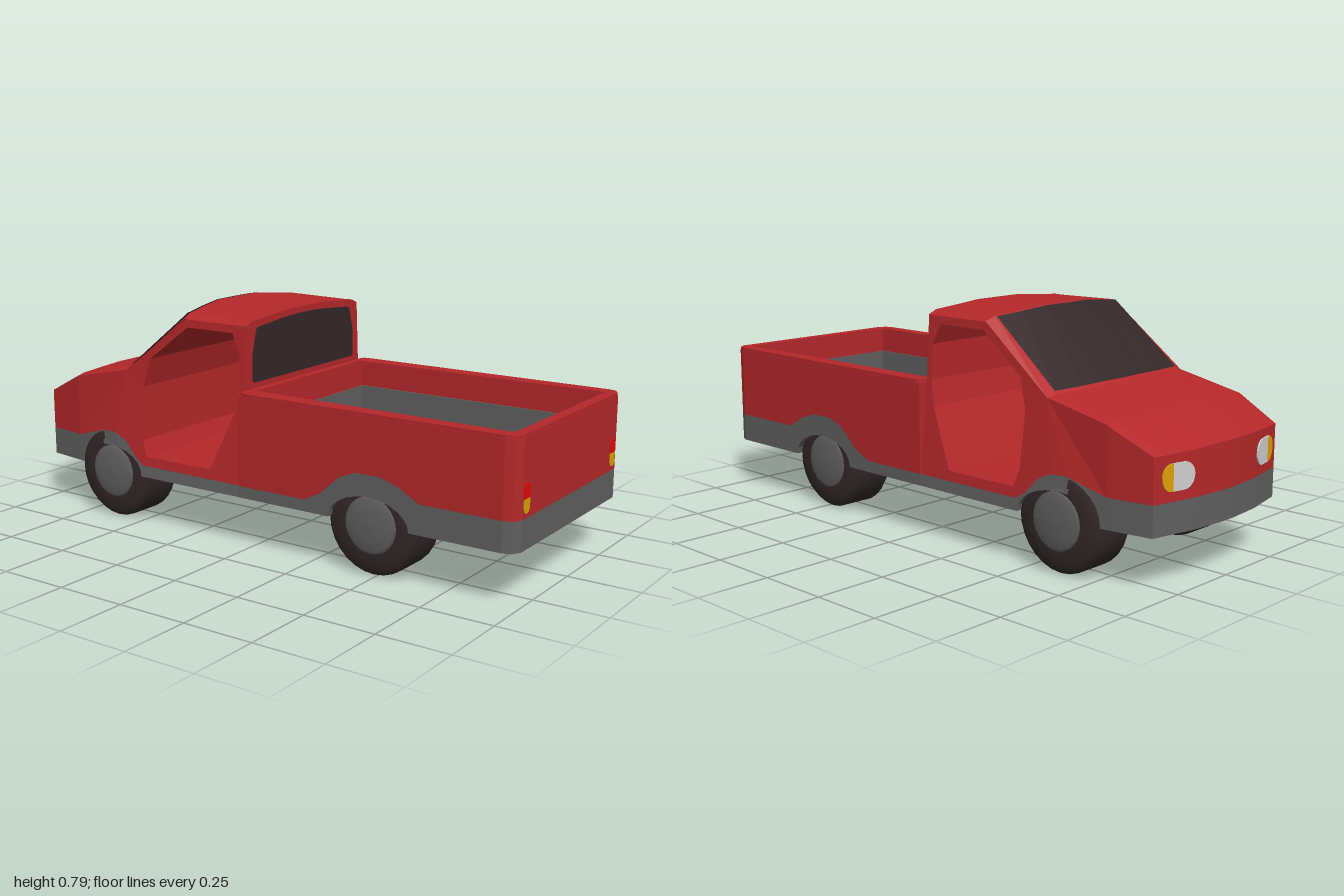
import * as THREE from 'three';

const mat = (name, color, side = THREE.FrontSide) => {
  const m = new THREE.MeshStandardMaterial({ color, side });
  m.name = name;
  return m;
};

// half width of the cab: leaning glasshouse, flared doors, tapering nose
function cabWidth(y, z) {
  const flare = THREE.MathUtils.clamp((z + 0.8) / 0.2, 0, 1) * 0.1;
  const taper = Math.max(0, -0.8 - z) * 0.15;
  return 0.345 + flare * Math.max(0, 0.54 - y) - 0.055 * Math.max(0, y - 0.54) - taper;
}

// copy of a geometry reflected in x, with corner order kept outward
function mirrored(geo) {
  const g = geo.index ? geo.toNonIndexed() : geo.clone();
  g.scale(-1, 1, 1);
  for (const a of Object.values(g.attributes)) {
    const n = a.itemSize;
    for (let i = 0; i < a.count; i += 3) {
      for (let k = 0; k < n; k++) {
        const p = (i + 1) * n + k, q = (i + 2) * n + k;
        [a.array[p], a.array[q]] = [a.array[q], a.array[p]];
      }
    }
  }
  return g;
}

function bend(geo, rule) {
  const p = geo.attributes.position, v = new THREE.Vector3();
  for (let i = 0; i < p.count; i++) {
    rule(v.fromBufferAttribute(p, i));
    p.setXYZ(i, v.x, v.y, v.z);
  }
  geo.computeVertexNormals();
  return geo;
}

const shapeOf = (pts) => new THREE.Shape(pts.map(([x, y]) => new THREE.Vector2(x, y)));
const extrude = (shape, depth) => new THREE.ExtrudeGeometry(shape, { depth, bevelEnabled: false, curveSegments: 8 });
const symmetric = (pts) => [...pts, ...pts.map(([x, y]) => [-x, y]).reverse()];

// side panel drawn in (z, y), outer face at x = 0
function sidePanel(pts, thick, hole) {
  const s = shapeOf(pts.map(([z, y]) => [-z, y]));
  if (hole) s.holes.push(shapeOf(hole.map(([z, y]) => [-z, y])));
  return extrude(s, thick).rotateY(Math.PI / 2).translate(-thick, 0, 0);
}

// slab drawn in plan (x, z) between two heights
function slab(pts, y0, y1, hole) {
  const s = shapeOf(pts.map(([x, z]) => [x, -z]));
  if (hole) s.holes.push(shapeOf(hole.map(([x, z]) => [x, -z])));
  return extrude(s, y1 - y0).rotateX(-Math.PI / 2).translate(0, y0, 0);
}

// D-shaped lamp: straight edge at x = 0, rounded end towards +x
function lamp(length, height, r) {
  const s = new THREE.Shape();
  s.moveTo(0, -height / 2);
  s.lineTo(length - r, -height / 2);
  s.absellipse(length - r, 0, r, height / 2, -Math.PI / 2, Math.PI / 2, false, 0);
  s.lineTo(0, height / 2);
  return extrude(s, 0.008);
}

// crowned surface across the cab; each row is [zEdge, zCentre, yEdge, yCentre]
const crown = (t) => (t <= 0.3 ? 1 : t <= 0.9 ? 1 - (t - 0.3) * 0.95 : (1 - t) * 4.3);
function crownedSkin(rows, cols) {
  const pos = [], idx = [], n = cols.length;
  rows.forEach(([ze, zc, ye, yc], i) => cols.forEach((t, j) => {
    const a = Math.abs(t);
    pos.push(t * cabWidth(ye, ze), ye + (yc - ye) * crown(a), ze + (zc - ze) * (1 - a * a));
    if (i && j) {
      const c = i * n + j, b = c - n;
      idx.push(b - 1, b, c, b - 1, c, c - 1);
    }
  }));
  const g = new THREE.BufferGeometry();
  g.setAttribute('position', new THREE.Float32BufferAttribute(pos, 3));
  g.setIndex(idx);
  const flat = g.toNonIndexed();
  flat.computeVertexNormals();
  return flat;
}

// wheel arch notch in a lower edge, running towards -z
const notch = (zc) => Array.from({ length: 13 }, (_, i) => {
  const a = (i / 12) * Math.PI;
  return [zc + 0.15 * Math.cos(a), 0.18 + 0.09 * Math.sin(a)];
});

export function createModel() {
  const root = new THREE.Group();
  root.name = 'pickupTruck';
  const red = mat('red paint', 0xb5282a, THREE.DoubleSide);
  const grey = mat('grey trim', 0x606060);
  const rubber = mat('tyre rubber', 0x322828);
  const glass = mat('dark glass', 0x342829, THREE.DoubleSide);
  const white = mat('headlight white', 0xd0d0d0);
  const amber = mat('amber lamp', 0xe0a008);
  const tailRed = mat('tail lamp red', 0xe80404);

  const add = (name, geo, m) => {
    const mesh = new THREE.Mesh(geo, m);
    mesh.name = name;
    root.add(mesh);
  };
  const pair = (name, geo, m) => {
    add(name + 'Left', geo, m);
    add(name + 'Right', mirrored(geo), m);
  };
  const box = (name, m, x0, x1, y0, y1, z0, z1) => add(name,
    new THREE.BoxGeometry(x1 - x0, y1 - y0, z1 - z0).translate((x0 + x1) / 2, (y0 + y1) / 2, (z0 + z1) / 2), m);

  // cargo bed sides: red above, grey arch band below
  const rearBand = [[0.9, 0.28], [0.67, 0.28], [0.6, 0.32], [0.53, 0.343], [0.44, 0.343],
    [0.38, 0.32], [0.3, 0.25], [0.24, 0.22], [-0.03, 0.22]];
  pair('bedSide', sidePanel([...rearBand, [-0.03, 0.53], [0.9, 0.53]], 0.05).translate(0.382, 0, 0), red);
  pair('bedTrim', sidePanel([[0.9, 0.18], ...notch(0.485), [-0.03, 0.18], ...[...rearBand].reverse()], 0.05)
    .translate(0.382, 0, 0), grey);

  // tail with rounded corners
  const tailCorner = [[0.332, 0.96], [0.332, 0.9], [0.382, 0.9], [0.382, 0.955], [0.372, 0.983], [0.345, 1]];
  add('tailgate', slab(symmetric(tailCorner), 0.28, 0.53), red);
  add('rearBumper', slab(symmetric(tailCorner), 0.18, 0.28), grey);

  // bed front wall, rim, floor and liner
  box('bedFrontWall', red, -0.38, 0.38, 0.2, 0.53, -0.03, 0);
  const rim = symmetric([[0.35, -0.03], [0.376, -0.02], [0.38, 0], [0.38, 0.955], [0.37, 0.982], [0.344, 0.998]]);
  const rimHole = symmetric([[0.318, 0], [0.332, 0.95], [0.325, 0.96]]);
  add('bedRim', slab(rim, 0.528, 0.54, rimHole), red);
  box('bedFloor', grey, -0.34, 0.34, 0.262, 0.272, -0.02, 0.97);
  pair('bedLinerSide', new THREE.BoxGeometry(0.008, 0.175, 0.96).translate(0.329, 0.3575, 0.48), grey);
  box('bedLinerFront', grey, -0.33, 0.33, 0.27, 0.445, -0.004, 0.004);
  box('bedLinerRear', grey, -0.33, 0.33, 0.27, 0.445, 0.954, 0.962);
  add('underside', slab(symmetric([[0.33, -0.81], [0.343, -0.5], [0.355, -0.03], [0.343, 0], [0.343, 0.97]]), 0.179, 0.19), grey);

  // cab body, with the doorway running straight through it
  const frontBand = [[-0.03, 0.22], [-0.46, 0.22], [-0.5, 0.245], [-0.55, 0.298], [-0.6, 0.32],
    [-0.66, 0.32], [-0.73, 0.3], [-0.8, 0.28]];
  const door = [[-0.085, 0.728], [-0.28, 0.728], [-0.447, 0.602], [-0.476, 0.5], [-0.47, 0.31], [-0.447, 0.254],
    [-0.16, 0.254], [-0.068, 0.455], [-0.05, 0.54], [-0.052, 0.66]];
  const cabOutline = [...frontBand, [-0.8, 0.5], [-0.56, 0.55], [-0.29, 0.755], [-0.03, 0.755], [-0.03, 0.54]];
  add('cab', bend(sidePanel(cabOutline, 2, door), (v) => {
    v.x = (v.x > -1 ? 1 : -1) * cabWidth(v.y, v.z);
  }), red);
  pair('cabTrim', bend(sidePanel([[-0.03, 0.18], ...notch(-0.62), [-0.8, 0.18], ...[...frontBand].reverse()],
    0.03), (v) => { v.x += cabWidth(v.y, v.z); }), grey);

  // roof, windscreen frame and hood in one crowned skin
  const rows = [[-0.027, -0.027, 0.755, 0.785], [-0.29, -0.335, 0.757, 0.792],
    [-0.56, -0.6, 0.55, 0.562], [-0.8, -0.82, 0.5, 0.514], [-0.955, -1, 0.424, 0.432]];
  const inner = [-0.9, -0.6, -0.3, 0, 0.3, 0.6, 0.9];
  add('roofAndHood', crownedSkin(rows, [-1, ...inner, 1]), red);
  const between = (t) => rows[1].map((v, k) => v + (rows[2][k] - v) * t);
  add('windscreen', crownedSkin([between(0.02), between(0.97)], inner).translate(0, 0.004, -0.003), glass);

  // cab back wall and rear window
  const wall = symmetric([[0.345, 0.5], [0.344, 0.54], [0.332, 0.755], [0.3, 0.769], [0.1, 0.784]]);
  add('cabBack', extrude(shapeOf(wall), 0.02).translate(0, 0, -0.048), red);
  const pane = symmetric([[0.292, 0.56], [0.3, 0.567], [0.3, 0.66], [0.277, 0.742], [0.262, 0.747], [0.12, 0.759], [0.04, 0.763]]);
  add('rearWindow', extrude(shapeOf(pane), 0.006).translate(0, 0, -0.03), glass);

  // nose: bowed plan, top edge following the hood
  const nosePlan = symmetric([[0.345, -0.8], [0.322, -0.955], [0.16, -0.989], [0.03, -1]]);
  const flareBack = (v) => { if (v.z > -0.81) v.x = Math.sign(v.x) * cabWidth(v.y, -0.8); };
  add('nose', bend(slab(nosePlan, 0.28, 0.5), (v) => {
    flareBack(v);
    if (v.y > 0.4) v.y = v.z > -0.81 ? 0.498 : 0.424 + 0.008 * (1 - Math.abs(v.x) / 0.322);
  }), red);
  add('frontBumper', bend(slab(nosePlan, 0.18, 0.28), flareBack), grey);

  // headlights and tail lights
  const onNose = (geo) => geo.rotateY(Math.PI - 0.205).translate(0.25, 0.355, -0.967);
  pair('headlight', onNose(lamp(0.085, 0.085, 0.04)), white);
  pair('turnSignal', onNose(lamp(0.042, 0.085, 0.037).rotateZ(Math.PI)), amber);
  pair('tailLight', lamp(0.05, 0.04, 0.02).rotateZ(Math.PI / 2).translate(0.318, 0.342, 0.994), tailRed);
  pair('rearSignal', lamp(0.047, 0.04, 0.02).rotateZ(-Math.PI / 2).translate(0.318, 0.342, 0.994), amber);

  // wheels: tyre cut off below the bed floor, domed hub on both faces, axis along x
  const tyreProfile = [[0.001, 0.195], [0.15, 0.195], [0.17, 0.222], [0.17, 0.34], [0.15, 0.36], [0.1, 0.364], [0.001, 0.364]];
  const hubProfile = [[0.001, 0.187], [0.06, 0.189], [0.1, 0.194], [0.1, 0.362], [0.085, 0.368], [0.05, 0.373], [0.001, 0.375]];
  const turned = (profile, y, z) => new THREE.LatheGeometry(shapeOf(profile).getPoints(), 28)
    .rotateZ(-Math.PI / 2).translate(0, y, z);
  const underFloor = (v) => { if (v.z > 0) v.y = Math.min(v.y, 0.268); };
  for (const [end, z] of [['front', -0.62], ['rear', 0.485]]) {
    pair(end + 'Tyre', bend(turned(tyreProfile, 0.172, z), underFloor), rubber);
    pair(end + 'Hub', bend(turned(hubProfile, 0.173, z), underFloor), grey);
  }
  return root;
}
